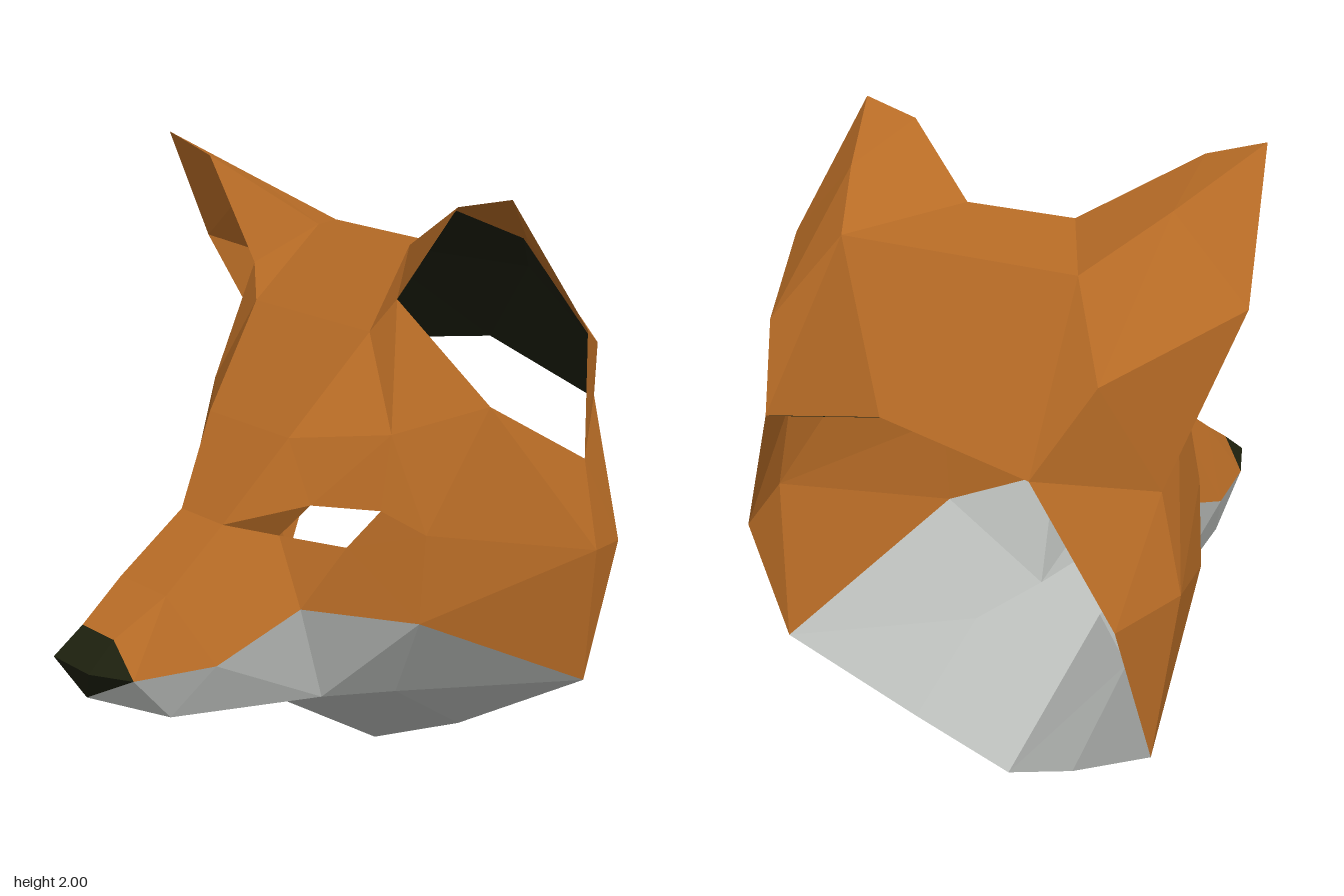
import * as THREE from 'three';

// Corner points of the left half; the right half is mirrored.
const P = {
  // forehead and snout ridge
  crown: [0.19, 1.76, -0.27], brow: [0.24, 1.55, -0.05], fore: [0.17, 1.27, 0.21],
  bridge: [0.09, 1.03, 0.40], ridge: [0.10, 0.88, 0.63], noseTop: [0.07, 0.79, 0.80],
  // nose
  noseTip: [0.08, 0.72, 0.90], noseLow: [0, 0.60, 0.85],
  // mouth line
  lip: [0.14, 0.68, 0.79], lip1: [0.21, 0.665, 0.54], lip2: [0.25, 0.76, 0.24],
  lip3: [0.48, 0.70, -0.03], jaw: [0.675, 0.38, -0.60],
  // chin
  chinMid: [0, 0.50, 0.66], chinSide: [0.13, 0.51, 0.65], throat: [0, 0.35, 0.14],
  cheekLow: [0.22, 0.415, 0.12], cheekBack: [0.29, 0.365, -0.14],
  chinTip: [0, 0, -0.36], chinEdge: [0.30, 0.14, -0.44],
  // eye opening
  eyeTop: [0.25, 1.08, 0.20], eyeOut: [0.39, 1.06, 0.05],
  eyeLow: [0.33, 0.95, 0.13], eyeIn: [0.16, 0.97, 0.24],
  // side of the head
  temple: [0.38, 1.28, 0.0], cheek: [0.48, 0.98, -0.05], side: [0.73, 0.86, -0.55],
  sideRim: [0.66, 0.81, -0.76], earFoot: [0.53, 1.34, -0.26],
  earIn: [0.30, 1.65, -0.10], earBase: [0.665, 1.14, -0.55],
  // ear and back of the head
  earTip: [0.70, 2.0, -0.11], earTop: [0.51, 1.95, -0.11], earOut: [0.795, 1.61, -0.35],
  earRidge: [0.56, 1.84, -0.35], earBack: [0.57, 1.45, -0.71],
  nape: [0.41, 1.69, -0.57], rim: [0.46, 1.22, -0.86], rimMid: [0, 1.315, -0.90],
};

// A trailing 0 puts the point on the centre plane.
const point = (name) => {
  if (name.endsWith('0')) { const p = P[name.slice(0, -1)]; return new THREE.Vector3(0, p[1], p[2]); }
  return new THREE.Vector3(...P[name]);
};

const HEART = new THREE.Vector3(0, 1.0, -0.25);

// Facets of one half, turned to face outwards, optionally mirrored or shrunk inwards.
function facets(list, mirror, shrink) {
  const pos = [];
  for (const face of list) {
    const pts = face.split(' ').map(point);
    for (let i = 1; i < pts.length - 1; i++) {
      const tri = [pts[0], pts[i], pts[i + 1]].map((p) => p.clone());
      const n = tri[1].clone().sub(tri[0]).cross(tri[2].clone().sub(tri[0]));
      const out = tri[0].clone().add(tri[1]).add(tri[2]).divideScalar(3).sub(HEART);
      if (n.dot(out) < 0) tri.reverse();
      if (shrink) tri.reverse();
      if (mirror) { tri.reverse(); tri.forEach((p) => { p.x = -p.x; }); }
      for (const p of tri) {
        if (shrink) p.lerp(HEART, shrink);
        pos.push(p.x, p.y, p.z);
      }
    }
  }
  const geo = new THREE.BufferGeometry();
  geo.setAttribute('position', new THREE.Float32BufferAttribute(pos, 3));
  geo.computeVertexNormals();
  return geo;
}

export function createModel() {
  const make = (name, color) => {
    const m = new THREE.MeshStandardMaterial({ color, side: THREE.DoubleSide, flatShading: true });
    m.name = name;
    return m;
  };
  const orange = make('orange fur', 0xb86c26);
  const grey = make('pale grey fur', 0xb9bcb9);
  const dark = make('near black', 0x1d200e);

  const model = new THREE.Group();
  model.name = 'foxMask';
  const part = (name, material, list, shrink = 0) => {
    const group = new THREE.Group();
    group.name = name;
    for (const mirror of [false, true]) {
      const mesh = new THREE.Mesh(facets(list, mirror, shrink), material);
      mesh.name = name + (mirror ? 'Right' : 'Left');
      group.add(mesh);
    }
    model.add(group);
  };

  part('nose', dark, [
    'noseTop noseTip noseTip0 noseTop0', 'noseTop lip noseTip',
    'noseTip lip noseLow', 'noseTip noseLow noseTip0',
  ]);

  part('forehead', orange, [
    'crown brow brow0 crown0', 'brow fore fore0 brow0', 'fore bridge bridge0 fore0',
    'fore temple brow', 'brow temple earIn', 'earIn temple earFoot',
  ]);

  part('snout', orange, [
    'bridge ridge ridge0 bridge0', 'ridge noseTop noseTop0 ridge0', 'noseTop lip ridge',
    'ridge lip lip1', 'ridge lip1 bridge', 'bridge lip1 eyeIn', 'lip1 lip2 eyeIn',
  ]);

  // the eye is left open between these facets
  part('eyeSurround', orange, [
    'bridge eyeIn eyeTop', 'bridge eyeTop fore', 'fore eyeTop temple', 'eyeTop eyeOut temple',
    'eyeOut cheek temple', 'eyeOut eyeLow cheek', 'eyeIn lip2 eyeLow', 'lip2 lip3 eyeLow',
    'lip3 cheek eyeLow',
  ]);

  part('cheek', orange, [
    'temple cheek earFoot', 'earFoot cheek side', 'earFoot side earBase', 'cheek lip3 side',
    'lip3 jaw side', 'side jaw sideRim', 'earBase side sideRim', 'earBase sideRim rim',
  ]);

  part('chin', grey, [
    'noseLow lip chinSide', 'noseLow chinSide chinMid', 'lip lip1 chinSide',
    'lip1 cheekLow chinSide', 'lip1 lip2 cheekLow', 'lip2 lip3 cheekLow',
    'lip3 jaw cheekBack', 'lip3 cheekBack cheekLow', 'chinSide cheekLow throat chinMid',
    'cheekLow cheekBack throat', 'cheekBack chinTip throat', 'cheekBack chinEdge chinTip',
    'cheekBack jaw chinEdge',
  ]);

  part('ear', orange, [
    'crown earTop earIn', 'crown earIn brow', 'earTop earTip earRidge',
    'earTip earOut earRidge', 'earRidge earOut earBack', 'earOut earBase earBack',
    'earBack earBase rim',
  ]);

  // back of the head with its dark lining
  const back = [
    'crown earTop earRidge', 'crown earRidge nape', 'nape earRidge earBack',
    'nape earBack rim', 'nape rim rimMid', 'nape rimMid nape0', 'crown nape nape0 crown0',
  ];
  part('headBack', orange, back);
  part('earLining', dark, back, 0.012);

  return model;
}
